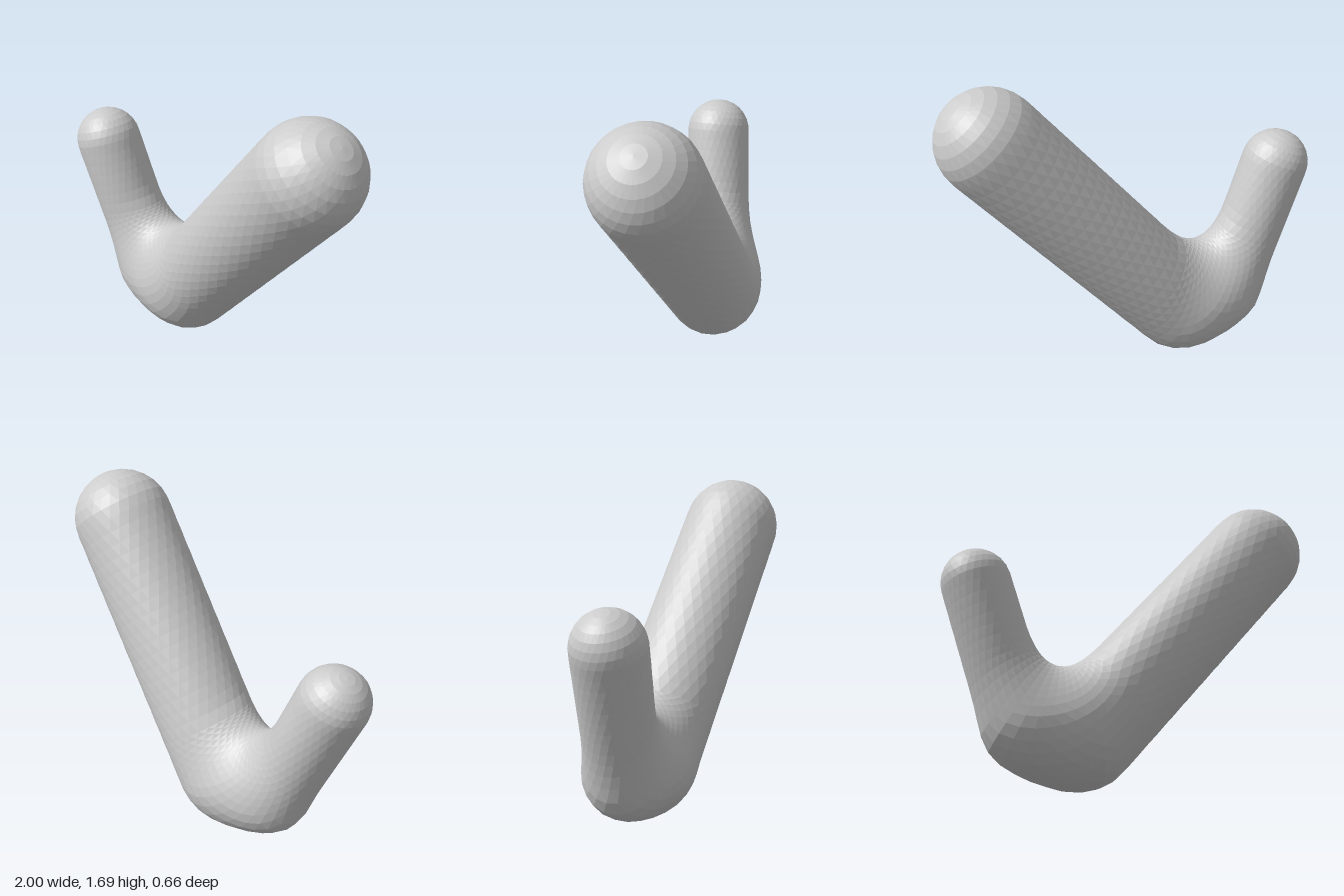
import * as THREE from 'three';

const V = (x, y, z) => new THREE.Vector3(x, y, z);

// Two rounded arms, each a capsule from its tip to its root
const thin = { tip: V(-0.82, 1.02, 0.035), root: V(-0.553, 0.3, -0.03), r: 0.182 };
const thick = { tip: V(0.73, 1.415, 0.065), root: V(-0.22, 0.27, -0.055), r: 0.268 };
const BLEND = 0.35;
const SIDES = 30;

function capsuleDistance(p, arm) {
  const q = new THREE.Line3(arm.tip, arm.root).closestPointToPoint(p, true, V(0, 0, 0));
  return q.distanceTo(p) - arm.r;
}

// Smooth union of the two arms
function distance(p) {
  const a = capsuleDistance(p, thin), b = capsuleDistance(p, thick);
  const h = Math.max(BLEND - Math.abs(a - b), 0) / BLEND;
  return Math.min(a, b) - h * h * BLEND / 4;
}

// Walk from the spine outwards until the blended surface is reached
function surfacePoint(center, dir) {
  const p = center.clone();
  for (let i = 0; i < 60; i++) p.addScaledVector(dir, -distance(p));
  return p;
}

// Spine stations: centre, angle of the outward normal, tilt of the ring along the spine
function buildStations() {
  const list = [];
  const add = (center, angle, tilt = 0) => list.push({ center, angle, tilt });
  const a0 = THREE.MathUtils.degToRad(200.3), a1 = THREE.MathUtils.degToRad(320.4);
  const elbowStart = V(-0.676, 0.63, 0), elbowEnd = V(-0.037, 0.491, -0.03);
  const CAP = 7, THIN = 7, ELBOW = 18, THICK = 18;

  // thin tip, thin arm
  for (let i = 0; i < CAP; i++) add(thin.tip, a0, -(1 - i / CAP) * Math.PI / 2);
  for (let i = 0; i < THIN; i++) add(thin.tip.clone().lerp(elbowStart, i / THIN), a0);
  // elbow, an arc around a pivot above the crotch
  for (let i = 0; i < ELBOW; i++) {
    const t = i / ELBOW, a = THREE.MathUtils.lerp(a0, a1, t);
    const r = THREE.MathUtils.lerp(0.347, 0.406, t);
    add(V(-0.35 + r * Math.cos(a), 0.75 + r * Math.sin(a), -0.03 * t), a);
  }
  // thick arm, thick tip
  for (let i = 0; i < THICK; i++) add(elbowEnd.clone().lerp(thick.tip, i / THICK), a1);
  for (let i = 0; i <= CAP; i++) add(thick.tip, a1, (i / CAP) * Math.PI / 2);
  return list;
}

function buildBody() {
  const stations = buildStations(), positions = [], index = [];
  stations.forEach(({ center, angle, tilt }, i) => {
    const normal = V(Math.cos(angle), Math.sin(angle), 0);
    const along = V(-Math.sin(angle), Math.cos(angle), 0);
    for (let j = 0; j < SIDES; j++) {
      const phi = ((j + (i % 2) / 2) / SIDES) * Math.PI * 2;
      const dir = normal.clone().multiplyScalar(Math.cos(phi)).add(V(0, 0, Math.sin(phi)))
        .multiplyScalar(Math.cos(tilt)).addScaledVector(along, Math.sin(tilt)).normalize();
      positions.push(...surfacePoint(center, dir).toArray());
      if (i === stations.length - 1) continue;
      // alternate the diagonal to suit the half-step offset between rings
      const k = (j + 1) % SIDES, lo = i * SIDES, hi = lo + SIDES;
      if (i % 2) index.push(lo + j, hi + j, hi + k, lo + j, hi + k, lo + k);
      else index.push(lo + j, hi + j, lo + k, lo + k, hi + j, hi + k);
    }
  });
  const geometry = new THREE.BufferGeometry();
  geometry.setAttribute('position', new THREE.Float32BufferAttribute(positions, 3));
  geometry.setIndex(index);
  geometry.computeVertexNormals();
  return geometry;
}

export function createModel() {
  const group = new THREE.Group();
  group.name = 'bentLimb';
  const material = new THREE.MeshStandardMaterial({ color: 0xcccccc, flatShading: true });
  const body = new THREE.Mesh(buildBody(), material);
  body.name = 'blendedArms';
  group.add(body);
  return group;
}
